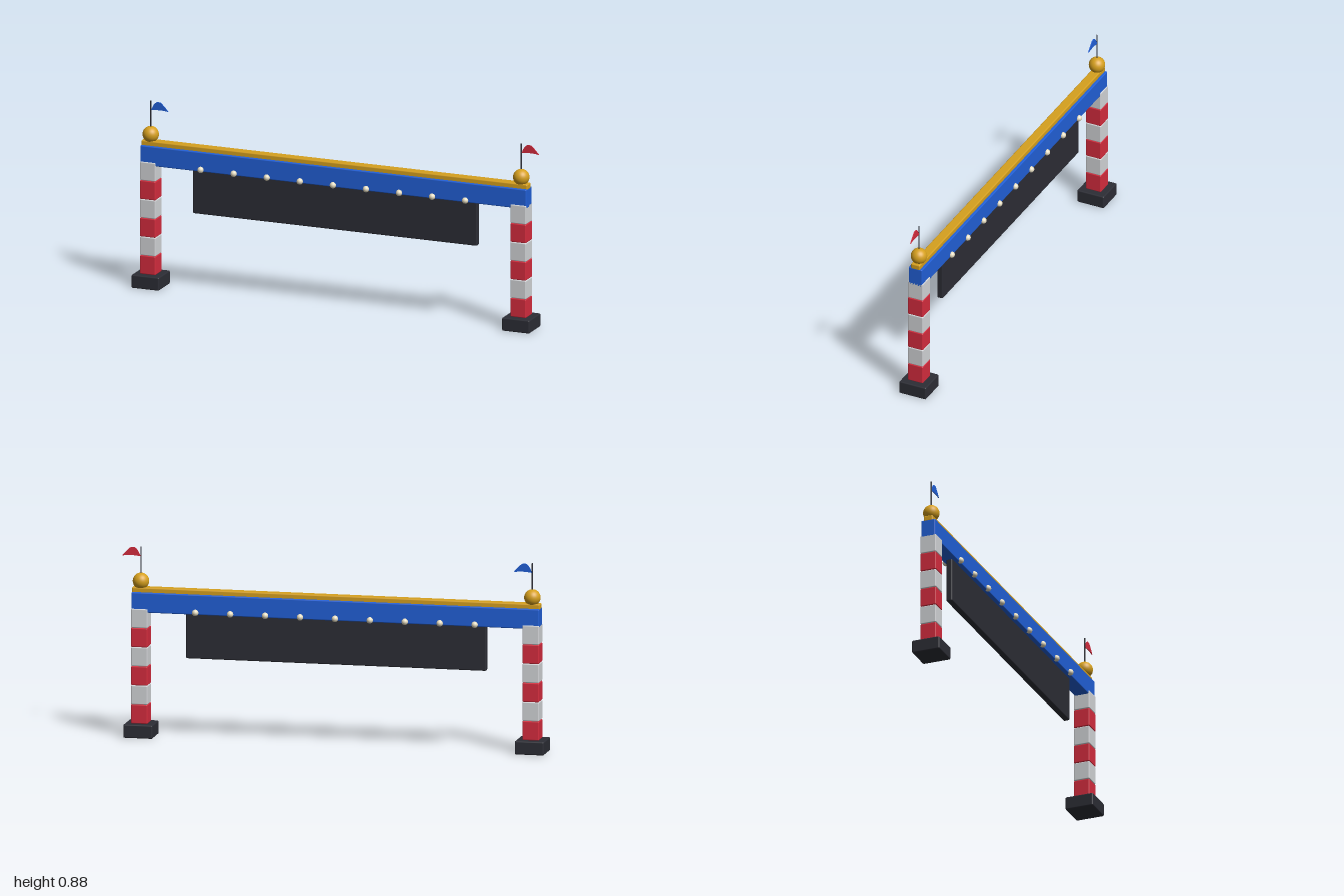
import * as THREE from 'three';
import { RoundedBoxGeometry } from 'three/addons/geometries/RoundedBoxGeometry.js';

const CENTRE = -0.0105; // the flags reach past the right-hand post, so the gate sits off centre
const POST_OFFSET = 0.9215;

function material(name, color, side = THREE.FrontSide) {
  const m = new THREE.MeshStandardMaterial({ color, side });
  m.name = name;
  return m;
}

export function createModel() {
  const mats = {
    blue: material('blue', 0x2160d8),
    red: material('red', 0xd62c3e),
    white: material('white', 0xd3d5d8),
    dark: material('charcoal', 0x2c2d35),
    gold: material('gold', 0xd6a01e),
    cream: material('cream', 0xe8dfc4),
  };

  const group = new THREE.Group();
  group.name = 'bannerGate';

  function add(parent, name, geometry, mat, x, y, z = 0) {
    const mesh = new THREE.Mesh(geometry, mat);
    mesh.name = name;
    mesh.position.set(x, y, z);
    parent.add(mesh);
    return mesh;
  }
  const box = (w, h, d, r) => new RoundedBoxGeometry(w, h, d, 2, r);

  // Shared geometries
  const baseGeo = box(0.137, 0.063, 0.137, 0.006);
  const blockGeo = box(0.078, 0.0895, 0.078, 0.005);
  const ballGeo = new THREE.SphereGeometry(0.038, 32, 20);
  const poleGeo = new THREE.CylinderGeometry(0.003, 0.003, 0.14, 10);
  const bulbGeo = new THREE.SphereGeometry(0.015, 16, 12);

  // Pennant outline, relative to the pole
  const pennant = new THREE.Shape();
  pennant.moveTo(0.002, 0.84);
  pennant.quadraticCurveTo(0.018, 0.882, 0.036, 0.882);
  pennant.lineTo(0.05, 0.88);
  pennant.quadraticCurveTo(0.07, 0.862, 0.0885, 0.84);
  pennant.quadraticCurveTo(0.05, 0.848, 0.002, 0.84);
  const flagGeo = new THREE.ExtrudeGeometry(pennant, { depth: 0.004, bevelEnabled: false, curveSegments: 8 });
  flagGeo.translate(0, 0, -0.002);

  // Striped posts with foot, finial ball and flag
  for (const side of [-1, 1]) {
    const post = new THREE.Group();
    post.name = side > 0 ? 'leftPost' : 'rightPost';
    post.position.x = CENTRE + side * POST_OFFSET;
    group.add(post);

    add(post, 'foot', baseGeo, mats.dark, 0, 0.0315);
    for (let i = 0; i < 6; i++) {
      add(post, 'stripeBlock', blockGeo, i % 2 ? mats.white : mats.red, 0, 0.063 + (i + 0.5) * 0.0895);
    }
    add(post, 'finialBall', ballGeo, mats.gold, 0, 0.725);
    add(post, 'flagPole', poleGeo, mats.dark, 0, 0.815);
    add(post, 'flag', flagGeo, side > 0 ? mats.red : mats.blue, 0, 0);
  }

  // Crossbeam with gold cap
  add(group, 'beam', box(1.921, 0.093, 0.07, 0.005), mats.blue, CENTRE, 0.6295);
  add(group, 'beamCap', box(1.921, 0.028, 0.046, 0.006), mats.gold, CENTRE, 0.684);

  // Hanging panel
  add(group, 'panel', box(1.414, 0.214, 0.03, 0.006), mats.dark, CENTRE, 0.481);

  // Bulbs along both faces of the beam
  for (let i = -4; i <= 4; i++) {
    for (const z of [-0.037, 0.037]) {
      add(group, 'bulb', bulbGeo, mats.cream, CENTRE + i * 0.1645, 0.593, z);
    }
  }

  return group;
}
